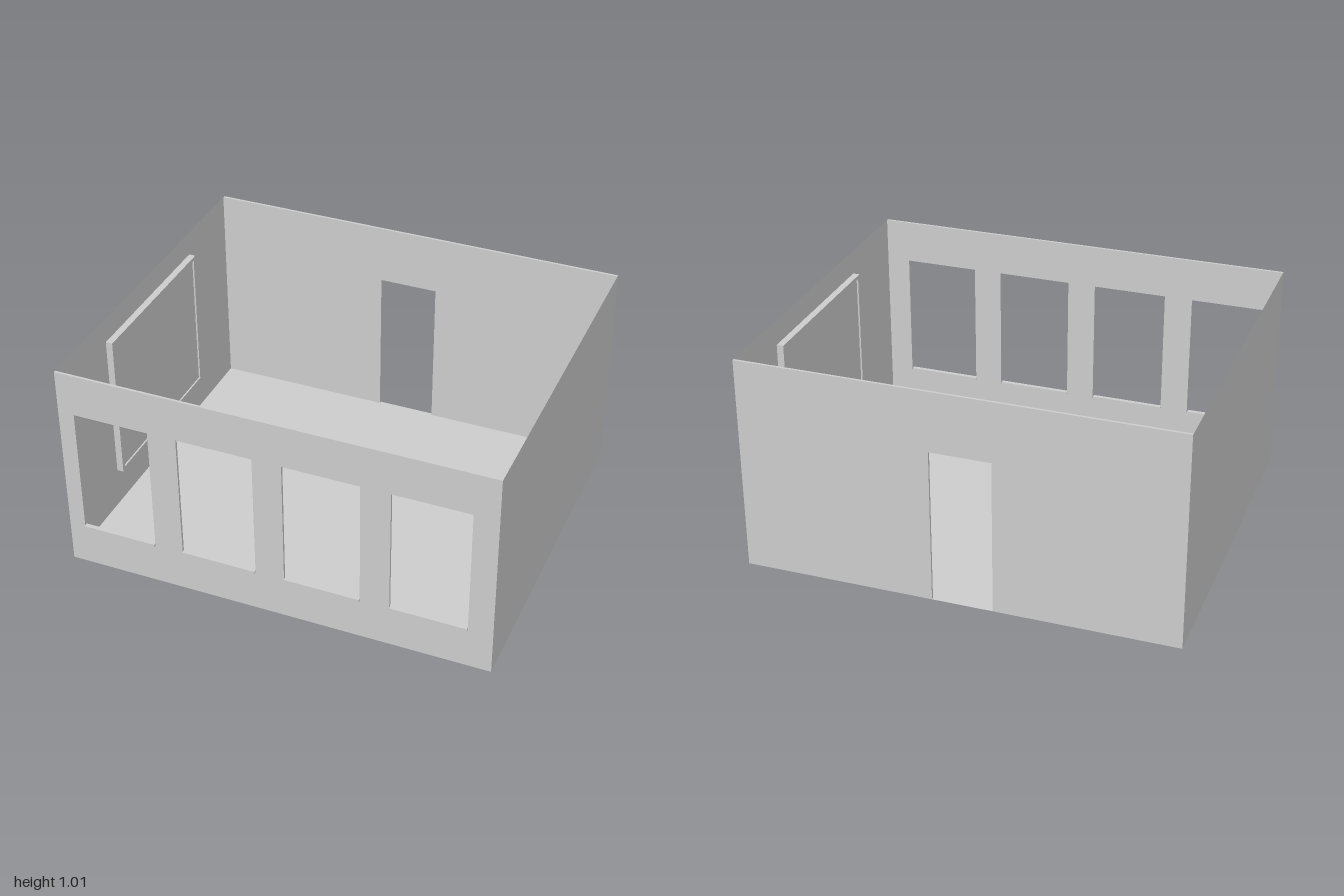
import * as THREE from 'three';

const H = 1.013, FRONT = 0.836, BACK = -0.845, T = 0.012;
const mat = new THREE.MeshStandardMaterial({ color: 0xcccccc, flatShading: true });
const thin = new THREE.MeshStandardMaterial({ color: 0xcccccc, flatShading: true, side: THREE.DoubleSide });

// Traces a rectangle on a Shape or Path
function rect(path, x0, y0, x1, y1) {
  path.moveTo(x0, y0);
  path.lineTo(x1, y0);
  path.lineTo(x1, y1);
  path.lineTo(x0, y1);
  path.closePath();
  return path;
}

export function createModel() {
  const room = new THREE.Group();
  const add = (name, geo, x, y, z, parent = room, m = mat) => {
    const mesh = new THREE.Mesh(geo, m);
    mesh.name = name;
    mesh.position.set(x, y, z);
    parent.add(mesh);
    return mesh;
  };
  const extrude = (shape, depth) => new THREE.ExtrudeGeometry(shape, { depth, bevelEnabled: false });
  const depth = FRONT - BACK, midZ = (FRONT + BACK) / 2;

  // Floor
  add('floor', new THREE.PlaneGeometry(2, depth), 0, 0, midZ, room, thin).rotation.x = -Math.PI / 2;

  // Front wall with four windows, each with a projecting sill
  const front = rect(new THREE.Shape(), -1, 0, 1, H);
  for (const x of [-0.924, -0.438, 0.049, 0.536]) {
    front.holes.push(rect(new THREE.Path(), x, 0.2, x + 0.352, 0.81));
    add('windowSill', new THREE.BoxGeometry(0.349, 0.013, 0.021), x + 0.176, 0.2015, 0.8345);
  }
  add('frontWall', extrude(front, T), 0, 0, FRONT - T);

  // Back wall with a doorway open down to the floor
  const back = new THREE.Shape();
  const outline = [[-1, 0], [-0.16, 0], [-0.16, 0.73], [0.12, 0.73], [0.12, 0], [1, 0], [1, H], [-1, H]];
  back.setFromPoints(outline.map(([x, y]) => new THREE.Vector2(x, y)));
  add('backWall', extrude(back, T), 0, 0, BACK);

  // Thin side walls, each carrying a framed wall board on the inside
  const frame = rect(new THREE.Shape(), -0.418, 0.187, 0.418, 0.9);
  frame.holes.push(rect(new THREE.Path(), -0.4, 0.205, 0.4, 0.882));
  for (const s of [-1, 1]) {
    add('sideWall', new THREE.PlaneGeometry(depth, H), s, H / 2, midZ, room, thin).rotation.y = s * Math.PI / 2;
    const board = new THREE.Group();
    board.name = 'wallBoard';
    board.position.set(s * 0.999, 0, -0.022);
    board.rotation.y = -s * Math.PI / 2;
    add('boardFrame', extrude(frame, 0.032), 0, 0, 0, board);
    add('boardPanel', new THREE.BoxGeometry(0.8, 0.677, 0.024), 0, 0.5435, 0.012, board);
    room.add(board);
  }
  return room;
}
